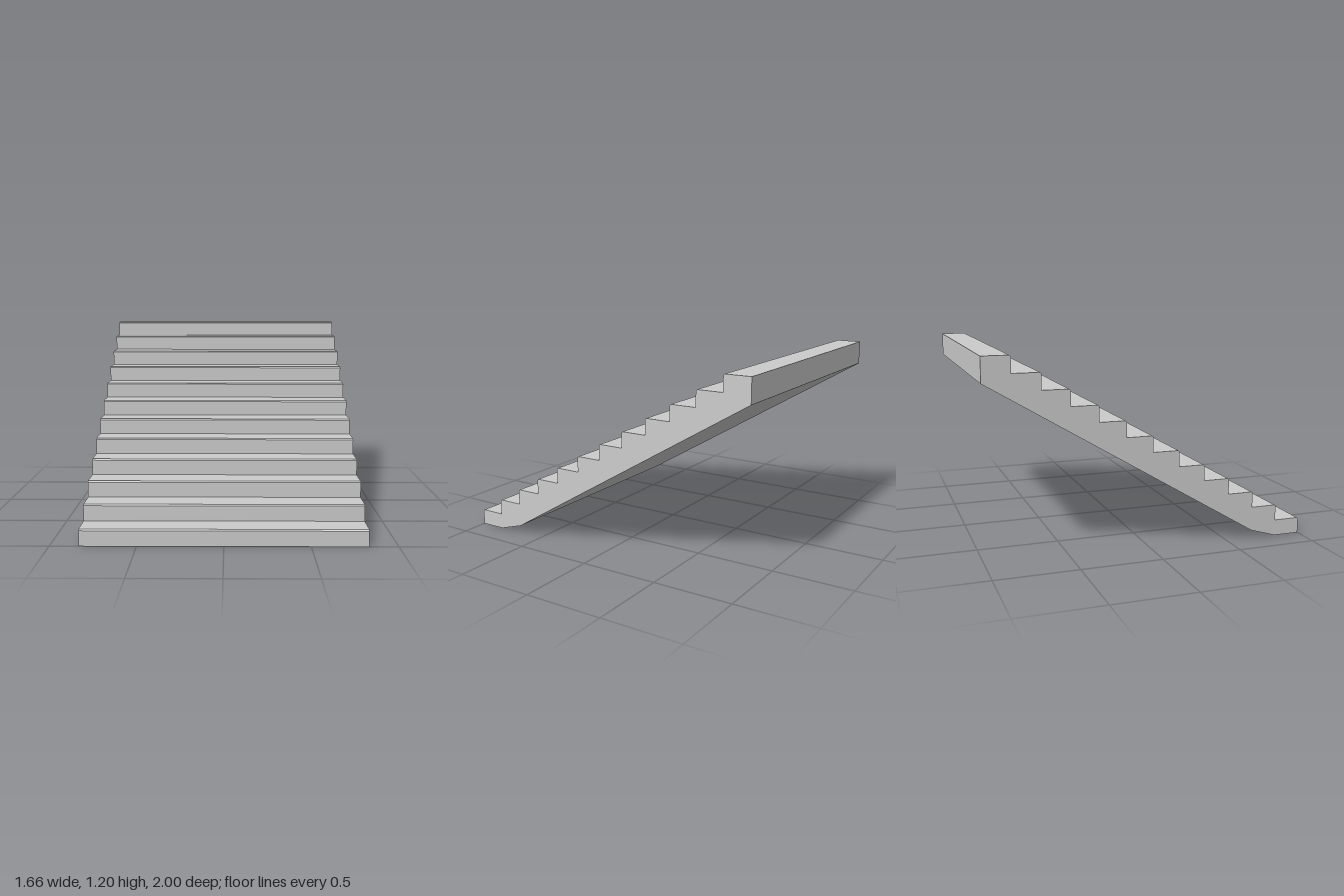
import * as THREE from 'three';

const STEPS = 12, RISE = 0.1, RUN = 1 / 6, WIDTH = 1.66, CHAMFER = 0.008;

// Side profile: shape x runs along the model's z, front at +1
function stairProfile() {
  const shape = new THREE.Shape();
  // sloping underside, from the foot to the top landing
  shape.moveTo(1, 0);
  shape.lineTo(1 - RUN, 0);
  shape.lineTo(1 - 2 * RUN, RISE / 2);
  shape.lineTo(-1, 1.05);
  shape.lineTo(-1, STEPS * RISE);
  // treads and risers with chamfered nosings, top to bottom
  for (let i = STEPS - 1; i >= 0; i--) {
    const z = 1 - i * RUN, top = (i + 1) * RISE;
    shape.lineTo(z - CHAMFER, top);
    shape.lineTo(z, top - CHAMFER);
    if (i > 0) shape.lineTo(z, i * RISE);
  }
  shape.closePath();
  return shape;
}

export function createModel() {
  const group = new THREE.Group();
  group.name = 'staircase';

  // One solid flight, extruded across the width
  const geometry = new THREE.ExtrudeGeometry(stairProfile(), { depth: WIDTH, bevelEnabled: false });
  geometry.translate(0, 0, -WIDTH / 2);
  geometry.rotateY(-Math.PI / 2);

  const flight = new THREE.Mesh(
    geometry,
    new THREE.MeshStandardMaterial({ color: 0xcccccc, flatShading: true })
  );
  flight.name = 'stairFlight';
  group.add(flight);
  return group;
}
